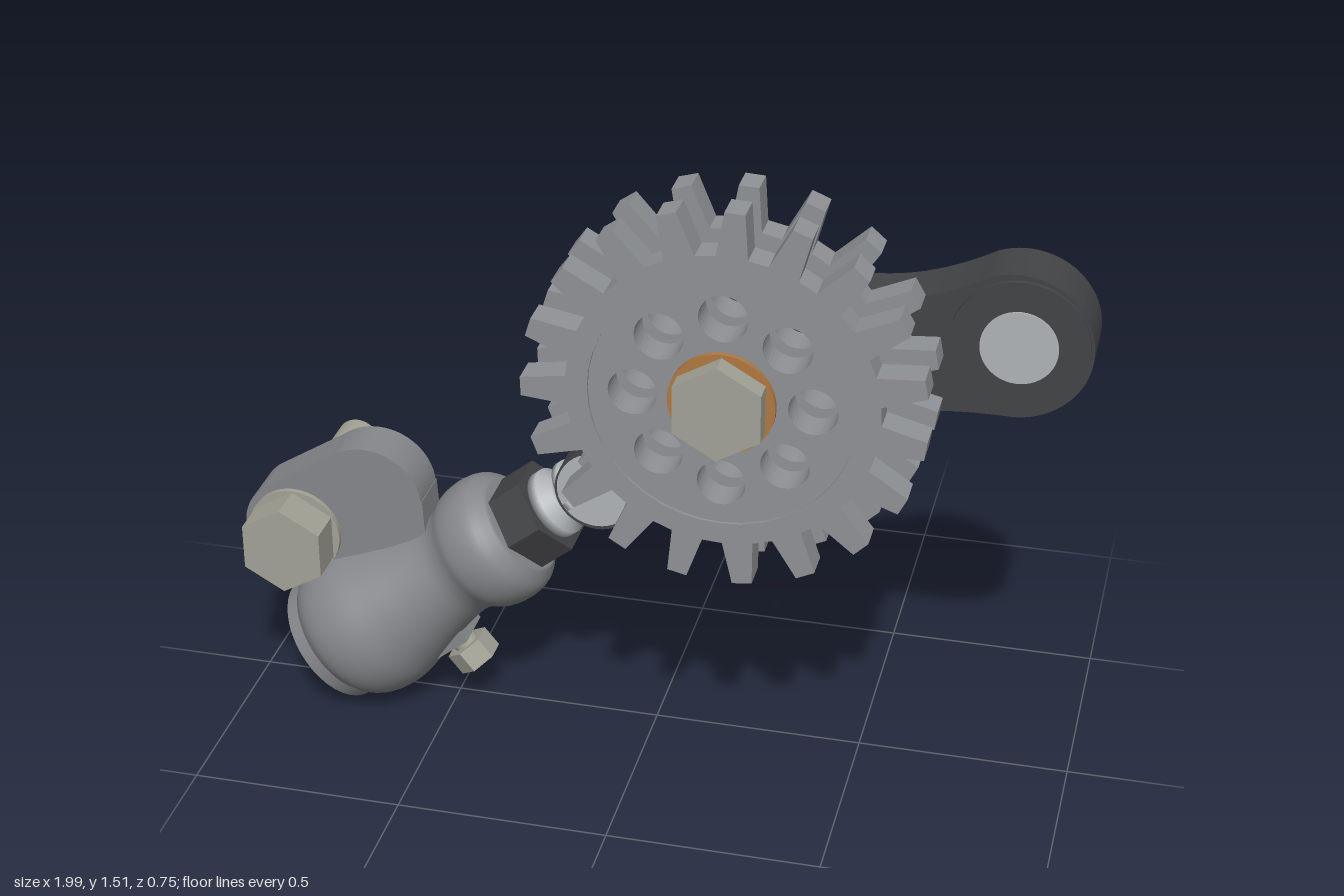
import * as THREE from 'three';

const mat = (color, flatShading = false) => new THREE.MeshStandardMaterial({ color, flatShading });
const STEEL = mat(0x8f9296), DARK = mat(0x434446), LIGHT = mat(0xb0b4b8), BRASS = mat(0xb07840);
const BOLT = mat(0xa3a296), BOLT_FLAT = mat(0xa3a296, true), DARK_FLAT = mat(0x434446, true), CAST = mat(0x85878a);
const V = (x, y) => new THREE.Vector2(x, y);

function add(parent, name, geometry, material) {
  const mesh = new THREE.Mesh(geometry, material);
  mesh.name = name;
  parent.add(mesh);
  return mesh;
}

// Cylinder or prism along z, between z0 and z1
function disc(parent, name, x, y, r, z0, z1, material, sides = 40) {
  const g = new THREE.CylinderGeometry(r, r, z1 - z0, sides).rotateX(Math.PI / 2);
  return add(parent, name, g.translate(x, y, (z0 + z1) / 2), material);
}

// Flat plate extruded between z0 and z1
function plate(parent, name, shape, z0, z1, material) {
  const g = new THREE.ExtrudeGeometry(shape, { depth: z1 - z0, bevelEnabled: false, curveSegments: 20 });
  return add(parent, name, g.translate(0, 0, z0), material);
}

function circleHole(x, y, r) {
  return new THREE.Path().absarc(x, y, r, 0, Math.PI * 2, true);
}

// Toothed rim with a pierced web that stands proud on one side
function gear(parent, name, rim, web) {
  const group = new THREE.Group();
  group.name = name;
  group.position.set(0.22, 1.07, 0);
  const teeth = 19, root = 0.35, tip = 0.452, pts = [];
  for (let i = 0; i < teeth; i++) {
    const a = THREE.MathUtils.degToRad(87) + i * Math.PI * 2 / teeth;
    for (const [r, d] of [[root, -0.1], [tip, -0.05], [tip, 0.05], [root, 0.1]])
      pts.push(V(r * Math.cos(a + d), r * Math.sin(a + d)));
  }
  const rimShape = new THREE.Shape(pts);
  rimShape.holes.push(circleHole(0, 0, 0.3));
  plate(group, 'toothedRim', rimShape, rim[0], rim[1], STEEL);
  const webShape = new THREE.Shape().absarc(0, 0, 0.3, 0, Math.PI * 2);
  for (let i = 0; i < 8; i++) {
    const a = i * Math.PI / 4;
    webShape.holes.push(circleHole(0.2 * Math.cos(a), 0.2 * Math.sin(a), 0.055));
  }
  plate(group, 'piercedWeb', webShape, web[0], web[1], STEEL);
  parent.add(group);
}

// Two-armed lever with waisted arms around a round hub
function leverShape() {
  const rad = THREE.MathUtils.degToRad;
  const at = (c, r, deg) => V(c.x + r * Math.cos(rad(deg)), c.y + r * Math.sin(rad(deg)));
  const hub = V(0.22, 1.07), far = V(0.82, 1.17), low = V(-0.12, 0.68);
  const s = new THREE.Shape();
  const arc = (c, r, a, b) => s.absarc(c.x, c.y, r, rad(a), rad(b), false);
  const curve = (mid, off, ang, end) => {
    const c = at(mid, off, ang);
    s.quadraticCurveTo(c.x, c.y, end.x, end.y);
  };
  const midFar = V(0.54, 1.12), midLow = V(0.0, 0.82);
  arc(far, 0.172, -90, 112);
  curve(midFar, 0.08, 99, at(hub, 0.225, 62));
  arc(hub, 0.225, 62, 180);
  curve(midLow, 0.1, 139, at(low, 0.1, 139));
  arc(low, 0.1, 139, 319);
  curve(midLow, 0.1, 319, at(hub, 0.225, 278));
  arc(hub, 0.225, 278, 315);
  curve(midFar, 0.115, 279, at(far, 0.172, -90));
  return s;
}

export function createModel() {
  const model = new THREE.Group();
  model.name = 'gearLinkage';

  // Twin gears, web faces turned toward each other
  gear(model, 'frontGear', [0.25, 0.32], [0.235, 0.313]);
  gear(model, 'rearGear', [0.11, 0.178], [0.117, 0.192]);

  // Axle
  disc(model, 'axleBushing', 0.22, 1.07, 0.12, -0.069, 0.325, BRASS);
  disc(model, 'axleBackPlug', 0.22, 1.07, 0.1, -0.072, -0.05, DARK);
  disc(model, 'axleHead', 0.22, 1.07, 0.113, 0.3, 0.375, BOLT_FLAT, 6);

  // Lever with its hub and end bosses
  plate(model, 'lever', leverShape(), -0.038, 0.1, DARK);
  disc(model, 'leverHub', 0.22, 1.07, 0.222, -0.066, 0.105, DARK);
  disc(model, 'leverEndBoss', 0.83, 1.175, 0.155, -0.053, 0.112, DARK);
  disc(model, 'leverEndPin', 0.83, 1.175, 0.086, 0, 0.116, LIGHT);
  disc(model, 'rodPin', -0.12, 0.685, 0.093, -0.043, 0.107, LIGHT);

  // Actuator, built along local y and tilted into place
  const actuator = new THREE.Group();
  actuator.name = 'actuator';
  actuator.position.set(-0.81, 0.137, 0.03);
  actuator.rotation.z = THREE.MathUtils.degToRad(-51.3);
  model.add(actuator);

  const curve = new THREE.SplineCurve([
    V(0.165, 0.035), V(0.186, 0.065), V(0.197, 0.11), V(0.194, 0.17), V(0.17, 0.25), V(0.147, 0.33),
    V(0.132, 0.41), V(0.138, 0.455), V(0.157, 0.495), V(0.163, 0.545), V(0.153, 0.59), V(0.12, 0.625),
  ]);
  add(actuator, 'housing', new THREE.LatheGeometry([...curve.getPoints(44), V(0, 0.63)], 48), CAST);
  add(actuator, 'endCap', new THREE.CylinderGeometry(0.163, 0.163, 0.05, 40).translate(0, 0.025, 0), CAST);
  add(actuator, 'lockNut', new THREE.CylinderGeometry(0.117, 0.117, 0.105, 6).translate(0, 0.668, 0), DARK_FLAT);
  const boot = [[0, 0.7], [0.085, 0.72], [0.085, 0.745], [0.05, 0.765], [0.05, 0.78], [0.078, 0.79],
    [0.078, 0.805], [0.05, 0.825], [0.05, 0.87], [0, 0.87]].map(p => V(...p));
  add(actuator, 'rodBoot', new THREE.LatheGeometry(boot, 32), LIGHT);

  // Side screw on its square pad
  add(actuator, 'screwPad', new THREE.BoxGeometry(0.12, 0.11, 0.115).translate(0.108, 0.27, 0), CAST);
  const along = (r, x0, x1, n) =>
    new THREE.CylinderGeometry(r, r, x1 - x0, n).rotateZ(-Math.PI / 2).translate((x0 + x1) / 2, 0.285, 0);
  add(actuator, 'sideScrewShank', along(0.032, 0.1, 0.2, 20), BOLT);
  add(actuator, 'sideScrewHead', along(0.057, 0.187, 0.243, 6), BOLT_FLAT);

  // Mounting lug: rounded plate joined to the housing
  const lug = new THREE.Shape();
  lug.moveTo(-0.79, 0.25);
  lug.lineTo(-0.6, 0.35);
  lug.lineTo(-0.545, 0.5);
  lug.lineTo(-0.55, 0.585);
  lug.absarc(-0.69, 0.57, 0.138, 0.1, 2.2, false);
  lug.absarc(-0.87, 0.47, 0.127, 2.2, 4.3, false);
  lug.lineTo(-0.82, 0.3);
  plate(model, 'mountingLug', lug, -0.03, 0.087, CAST);

  // Mounting bolt
  const bx = -0.87, by = 0.465;
  disc(model, 'mountingBoltShank', bx, by, 0.054, -0.377, 0.09, BOLT);
  disc(model, 'mountingBoltWasher', bx, by, 0.113, 0.08, 0.1, BOLT);
  disc(model, 'mountingBoltHead', bx, by, 0.11, 0.095, 0.192, BOLT_FLAT, 6);

  return model;
}
